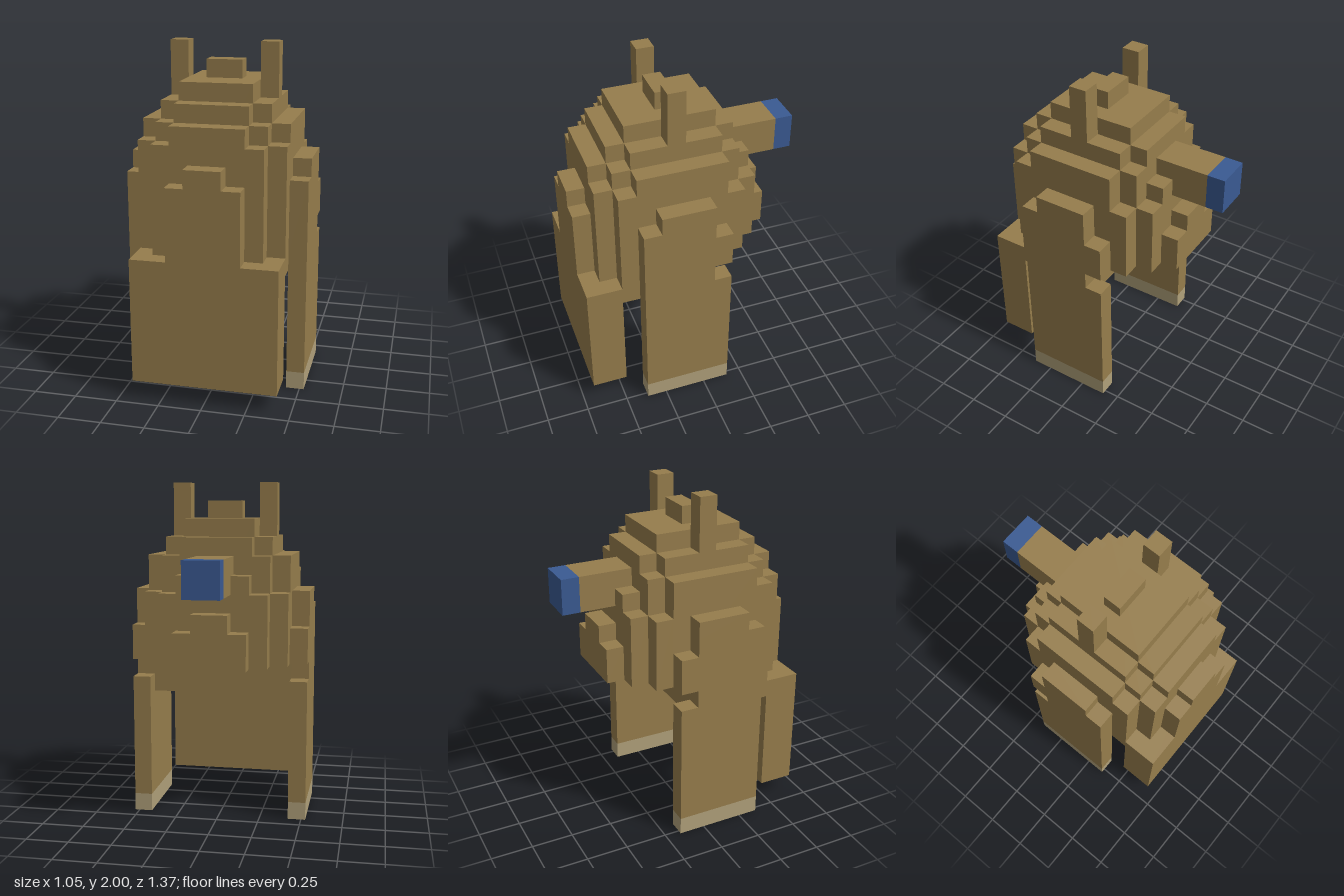
import * as THREE from 'three';

const U = 2 / 19; // one block

export function createModel() {
  const group = new THREE.Group();
  const mat = (name, color) => {
    const m = new THREE.MeshStandardMaterial({ color });
    m.name = name;
    return m;
  };
  const tan = mat('tan', 0x967d4c);
  const pale = mat('paleTan', 0xb0a07a);
  const blue = mat('blue', 0x3a5a92);

  // Block from x0..x1, y0..y1 and rows z0..z1 counted from the back (0) to the front (13)
  const block = (name, x0, x1, y0, y1, z0, z1, material = tan) => {
    const geo = new THREE.BoxGeometry((x1 - x0) * U, (y1 - y0) * U, (z1 - z0) * U);
    const mesh = new THREE.Mesh(geo, material);
    mesh.name = name;
    mesh.position.set((x0 + x1) / 2 * U, (y0 + y1) / 2 * U, ((z0 + z1) / 2 - 6.5) * U);
    group.add(mesh);
  };
  const centred = (name, h, ...rest) => block(name, -h, h, ...rest);

  // Stepped dome: half width, bottom, top, back row, front row
  [
    [4, 7, 9, 6, 11],
    [2, 9, 17, 5, 10],
    [3, 9, 16, 5, 10],
    [2, 9, 16, 4, 11],
    [4, 9, 15, 5, 10],
    [3, 9, 15, 4, 11],
    [4, 9, 14, 10, 11],
    [4, 9, 13, 4, 5],
  ].forEach(d => centred('dome', ...d));

  // Front of the dome, standing on the apron
  [
    [2, 8, 15, 11, 12],
    [3, 8, 14, 11, 12],
    [1, 8, 13, 12, 13],
    [2, 8, 12, 12, 13],
  ].forEach(d => centred('domeFront', ...d));

  // Back of the dome
  [
    [2, 9, 14, 3, 4],
    [3, 9, 13, 3, 4],
    [1, 9, 12, 2, 3],
    [2, 9, 11, 2, 3],
  ].forEach(d => centred('domeBack', ...d));

  centred('topKnob', 1, 17, 18, 7, 8);
  centred('frontApron', 4, 1, 8, 11, 13);

  // Rear spout with a blue end
  centred('rearSpout', 1, 13, 15, 1, 4.5);
  centred('spoutTip', 1, 13, 15, 0, 1, blue);

  // Side panels, their pale feet and the horns, mirrored
  const pair = (name, x0, x1, ...rest) => {
    block(name + 'Left', x0, x1, ...rest);
    block(name + 'Right', -x1, -x0, ...rest);
  };
  pair('foot', 4, 5, 0, 1, 5, 10, pale);
  pair('sidePanel', 4, 5, 1, 8, 5, 10);
  pair('sidePanelMiddle', 4, 5, 8, 12, 6, 10);
  pair('sidePanelTab', 4, 5, 9, 11, 5, 6);
  pair('sidePanelTop', 4, 5, 12, 13, 6, 9);
  pair('horn', 2, 3, 15, 19, 7, 8);

  return group;
}
